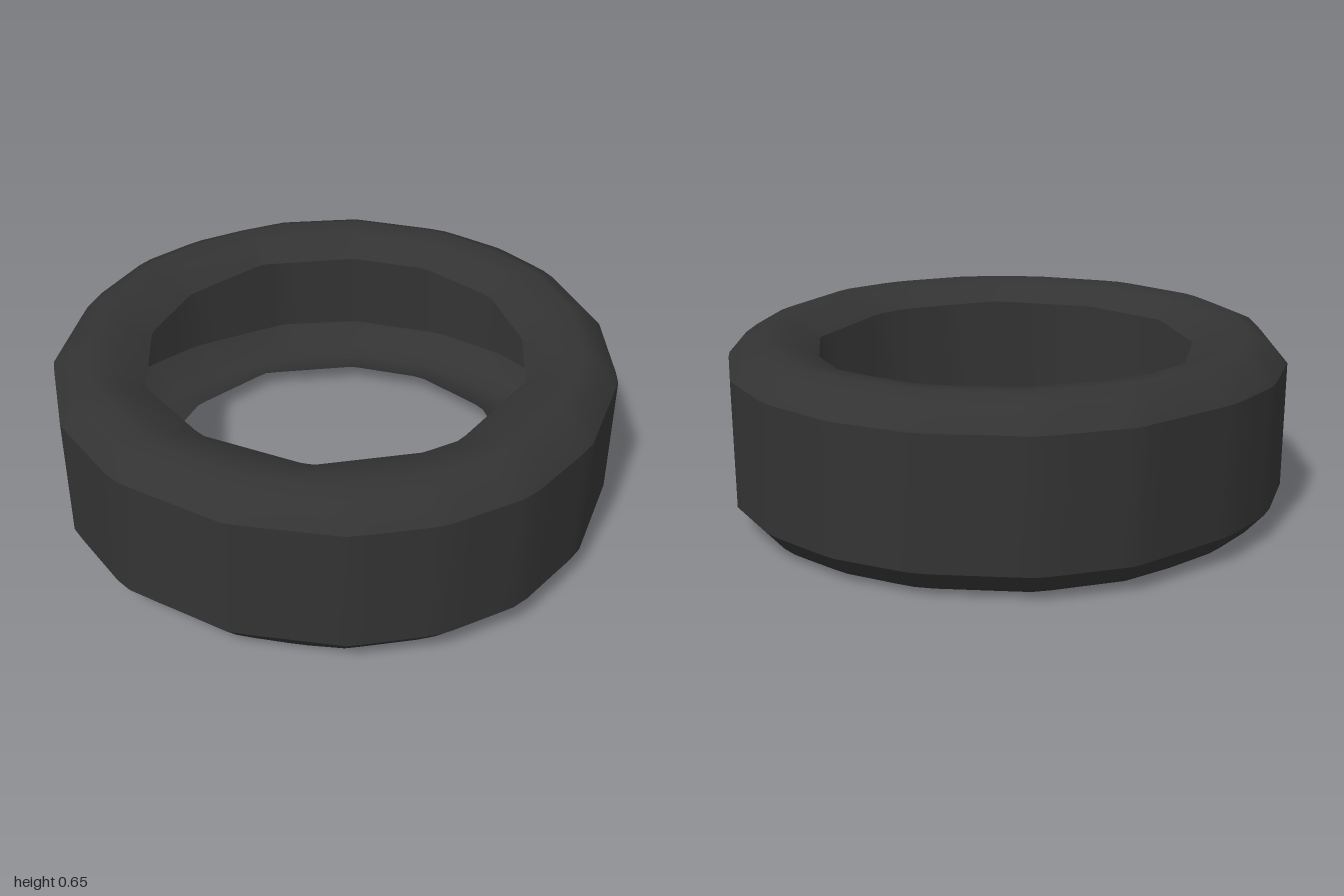
import * as THREE from 'three';

const STEPS = 96;

// Hand-cut outlines of the tread and of the bead opening, as [x, z] corners
const OUTER = [[0.07, 0.99], [0.36, 0.93], [0.63, 0.78], [0.85, 0.51], [0.99, 0.12], [0.97, -0.26],
  [0.86, -0.53], [0.67, -0.75], [0.42, -0.91], [0.05, -1], [-0.26, -0.96], [-0.62, -0.77],
  [-0.81, -0.59], [-0.95, -0.32], [-1, 0.07], [-0.9, 0.45], [-0.68, 0.74], [-0.31, 0.94]];
const INNER = [[-0.06, 0.68], [0.3, 0.6], [0.42, 0.53], [0.66, 0.18], [0.67, -0.1], [0.57, -0.4],
  [0.33, -0.61], [0.05, -0.68], [-0.31, -0.62], [-0.56, -0.38], [-0.67, -0.1], [-0.64, 0.26], [-0.42, 0.53]];

// Distance from the axis to a polygon outline in direction (dx, dz)
function reach(outline, dx, dz) {
  let best = 0;
  outline.forEach(([ax, az], i) => {
    const [bx, bz] = outline[(i + 1) % outline.length];
    const ex = bx - ax, ez = bz - az;
    const det = dx * ez - dz * ex;
    if (Math.abs(det) < 1e-9) return;
    const r = (ax * ez - az * ex) / det;
    const s = (ax * dz - az * dx) / det;
    if (r > 0 && s >= -1e-6 && s <= 1 + 1e-6) best = Math.max(best, r);
  });
  return best;
}

// Sweep a profile of [t, y] round the axis; t = 0 is the bead, t = 1 the tread
function band(name, profile, material) {
  const positions = [], index = [];
  for (const [t, y] of profile) {
    for (let i = 0; i < STEPS; i++) {
      const a = (i / STEPS) * Math.PI * 2;
      const dx = Math.sin(a), dz = Math.cos(a);
      const r = THREE.MathUtils.lerp(reach(INNER, dx, dz), reach(OUTER, dx, dz), t);
      positions.push(dx * r, y, dz * r);
    }
  }
  for (let j = 0; j < profile.length - 1; j++) {
    for (let i = 0; i < STEPS; i++) {
      const a = j * STEPS + i, b = j * STEPS + (i + 1) % STEPS;
      index.push(a, b, b + STEPS, a, b + STEPS, a + STEPS);
    }
  }
  const geometry = new THREE.BufferGeometry();
  geometry.setAttribute('position', new THREE.Float32BufferAttribute(positions, 3));
  geometry.setIndex(index);
  geometry.computeVertexNormals();
  const mesh = new THREE.Mesh(geometry, material);
  mesh.name = name;
  return mesh;
}

export function createModel() {
  const tyre = new THREE.Group();
  tyre.name = 'tyre';
  const rubber = new THREE.MeshStandardMaterial({ color: 0x333333, side: THREE.DoubleSide });

  // Hollow casing: bead, rounded sidewall and shoulder on each side of a flat tread
  const sidewall = [[1, 0.56], [0.8, 0.635], [0.6, 0.66], [0.33, 0.65], [0, 0.59]];
  const lower = sidewall.map(([t, y]) => [t, 0.67 - y]).reverse();
  tyre.add(
    band('lowerSidewall', lower, rubber),
    band('tread', [[1, 0.11], [1, 0.56]], rubber),
    band('upperSidewall', sidewall, rubber),
  );
  return tyre;
}
